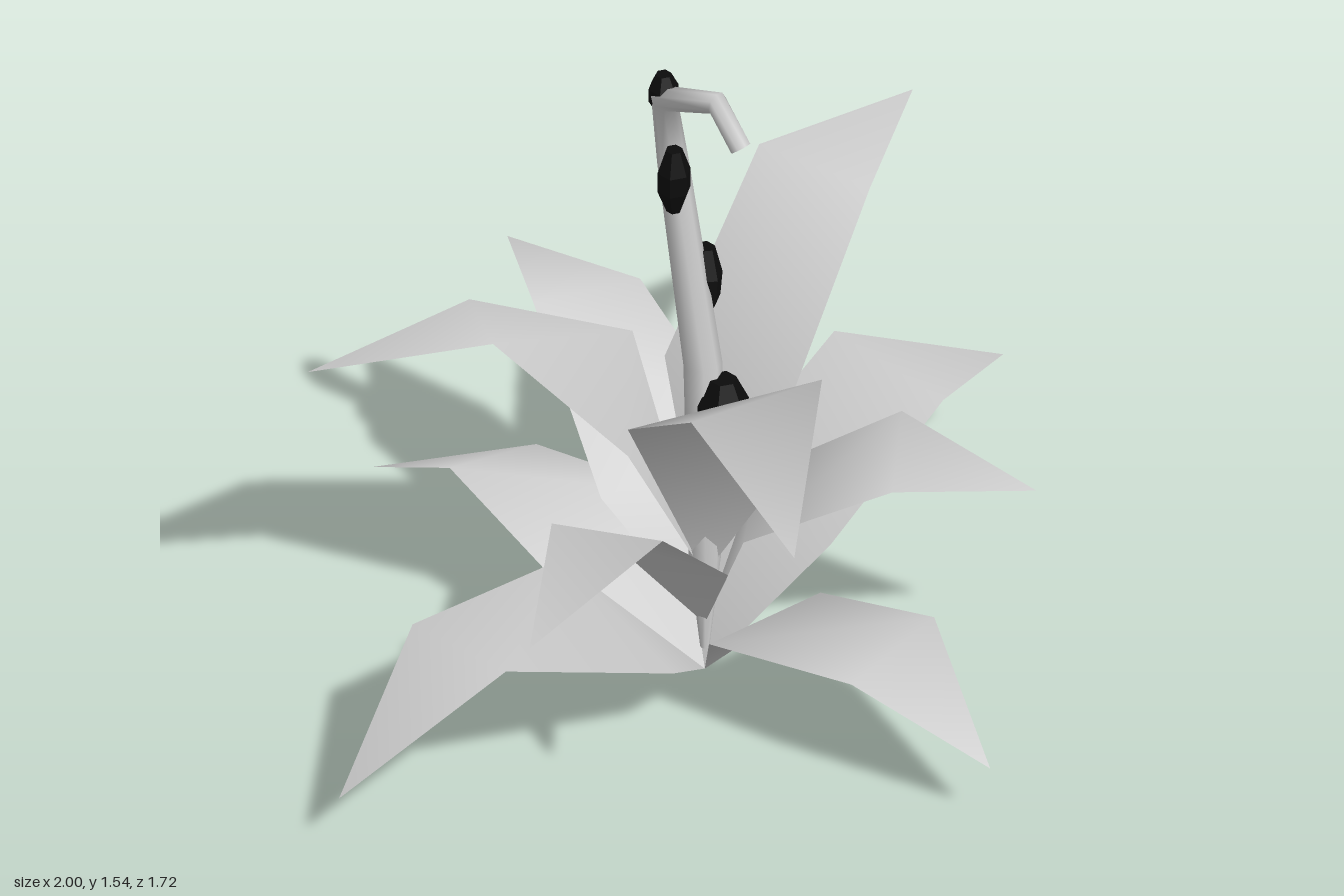
import * as THREE from 'three';

const V = (p) => new THREE.Vector3(...p);

// Each leaf: two mid corners, two bend corners, tip
const lowLeaves = {
  frontLowLeaf: [[0.19, 0.2, 0.2], [-0.16, 0.25, 0.2], [0.15, 0.34, 0.57], [-0.11, 0.3, 0.57], [0.02, 0.15, 0.855]],
  leftLowLeaf: [[0.19, 0.21, -0.2], [0.21, 0.32, 0.21], [0.62, 0.485, -0.16], [0.64, 0.44, 0.14], [1, 0.29, -0.02]],
  backLowLeaf: [[-0.18, 0.2, -0.2], [0.19, 0.26, -0.21], [-0.18, 0.36, -0.54], [0.06, 0.31, -0.51], [-0.08, 0.15, -0.86]],
  rightLowLeaf: [[-0.24, 0.2, 0.17], [-0.2, 0.295, -0.2], [-0.68, 0.4, 0.09], [-0.64, 0.35, -0.22], [-1, 0.14, -0.1]],
};
const middleLeaves = {
  frontMiddleLeaf: [[0.23, 0.39, -0.02], [-0.03, 0.44, 0.18], [0.37, 0.62, 0.27], [0.18, 0.58, 0.42], [0.455, 0.52, 0.585]],
  rightMiddleLeaf: [[-0.1, 0.4, 0.2], [-0.2, 0.42, -0.05], [-0.37, 0.665, 0.26], [-0.45, 0.63, 0.01], [-0.745, 0.56, 0.22]],
  backMiddleLeaf: [[-0.07, 0.39, -0.2], [0.24, 0.465, -0.07], [0.04, 0.7, -0.5], [0.3, 0.66, -0.43], [0.28, 0.6, -0.8]],
};
const upperLeaves = {
  frontUpperLeaf: [[0.1, 0.69, 0.26], [-0.2, 0.74, 0], [-0.17, 1.125, 0.54], [-0.42, 1.07, 0.39], [-0.59, 1.03, 0.85]],
  leftUpperLeaf: [[0.13, 0.66, -0.2], [0.18, 0.73, 0.14], [0.47, 1.02, -0.24], [0.56, 0.975, 0], [0.92, 0.94, -0.21]],
  rightUpperLeaf: [[-0.2, 0.67, 0], [0.04, 0.77, -0.21], [-0.42, 0.99, -0.19], [-0.29, 0.945, -0.38], [-0.68, 0.905, -0.49]],
};

function leafGeometry(root, points) {
  const geo = new THREE.BufferGeometry();
  geo.setAttribute('position', new THREE.Float32BufferAttribute([root, ...points].flat(), 3));
  geo.setIndex([0, 1, 2, 1, 3, 2, 2, 3, 4, 4, 3, 5]);
  geo.computeVertexNormals();
  return geo;
}

// Straight runs between joints, so each tube ring sits exactly on a joint
class JointedCurve extends THREE.Curve {
  constructor(joints) {
    super();
    this.joints = joints;
  }
  getPoint(t, target = new THREE.Vector3()) {
    const last = this.joints.length - 1;
    const i = Math.min(Math.floor(t * last), last - 1);
    return target.lerpVectors(this.joints[i], this.joints[i + 1], t * last - i);
  }
  getPointAt(u, target) { return this.getPoint(u, target); }
  getTangentAt(u, target) { return this.getTangent(u, target); }
}

function taperedTube(joints, radii, sides) {
  const geo = new THREE.TubeGeometry(new JointedCurve(joints), joints.length - 1, 1, sides);
  const pos = geo.attributes.position;
  const p = new THREE.Vector3();
  for (let i = 0; i < pos.count; i++) {
    const ring = Math.floor(i / (sides + 1));
    p.fromBufferAttribute(pos, i).sub(joints[ring]).multiplyScalar(radii[ring]).add(joints[ring]);
    pos.setXYZ(i, p.x, p.y, p.z);
  }
  return geo;
}

export function createModel() {
  const model = new THREE.Group();
  const plantMat = new THREE.MeshStandardMaterial({ color: 0xcccccc, side: THREE.DoubleSide });
  const budMat = new THREE.MeshStandardMaterial({ color: 0x0c0c0c, flatShading: true });

  const add = (name, geo, mat) => {
    const mesh = new THREE.Mesh(geo, mat);
    mesh.name = name;
    model.add(mesh);
    return mesh;
  };

  // Three tiers of folded leaves, each rooted higher up the stem
  for (const [rootHeight, tier] of [[0, lowLeaves], [0.12, middleLeaves], [0.25, upperLeaves]]) {
    const root = [0.02, rootHeight, 0.02];
    for (const [name, points] of Object.entries(tier)) add(name, leafGeometry(root, points), plantMat);
  }

  // Kinked stem with a hooked end
  const joints = [[0.02, 0.06, 0.02], [0.02, 0.3, 0.02], [0.025, 0.8, 0.01], [0.07, 1.25, -0.12], [0.022, 1.45, -0.1],
    [0.02, 1.515, 0.055], [0.02, 1.43, 0.125]].map(V);
  add('stem', taperedTube(joints, [0.01, 0.035, 0.042, 0.034, 0.03, 0.026, 0.024], 8), plantMat);

  // Dark six-sided buds: x, y, z, radius, half height, lean
  const profile = [[0, -1], [0.45, -1], [1, -0.3], [1, 0.3], [0.5, 1], [0, 1]].map(([r, y]) => new THREE.Vector2(r, y));
  const budGeo = new THREE.LatheGeometry(profile, 6);
  const buds = [[0.035, 0.69, 0.06, 0.058, 0.09, 0], [0.078, 0.955, -0.045, 0.046, 0.095, -0.12],
    [0.025, 1.245, -0.075, 0.037, 0.08, 0], [0.03, 1.455, -0.11, 0.034, 0.05, 0]];
  buds.forEach(([x, y, z, r, h, lean], i) => {
    const bud = add('bud' + (i + 1), budGeo, budMat);
    bud.position.set(x, y, z);
    bud.rotation.z = lean;
    bud.scale.set(r, h, r);
  });

  return model;
}
